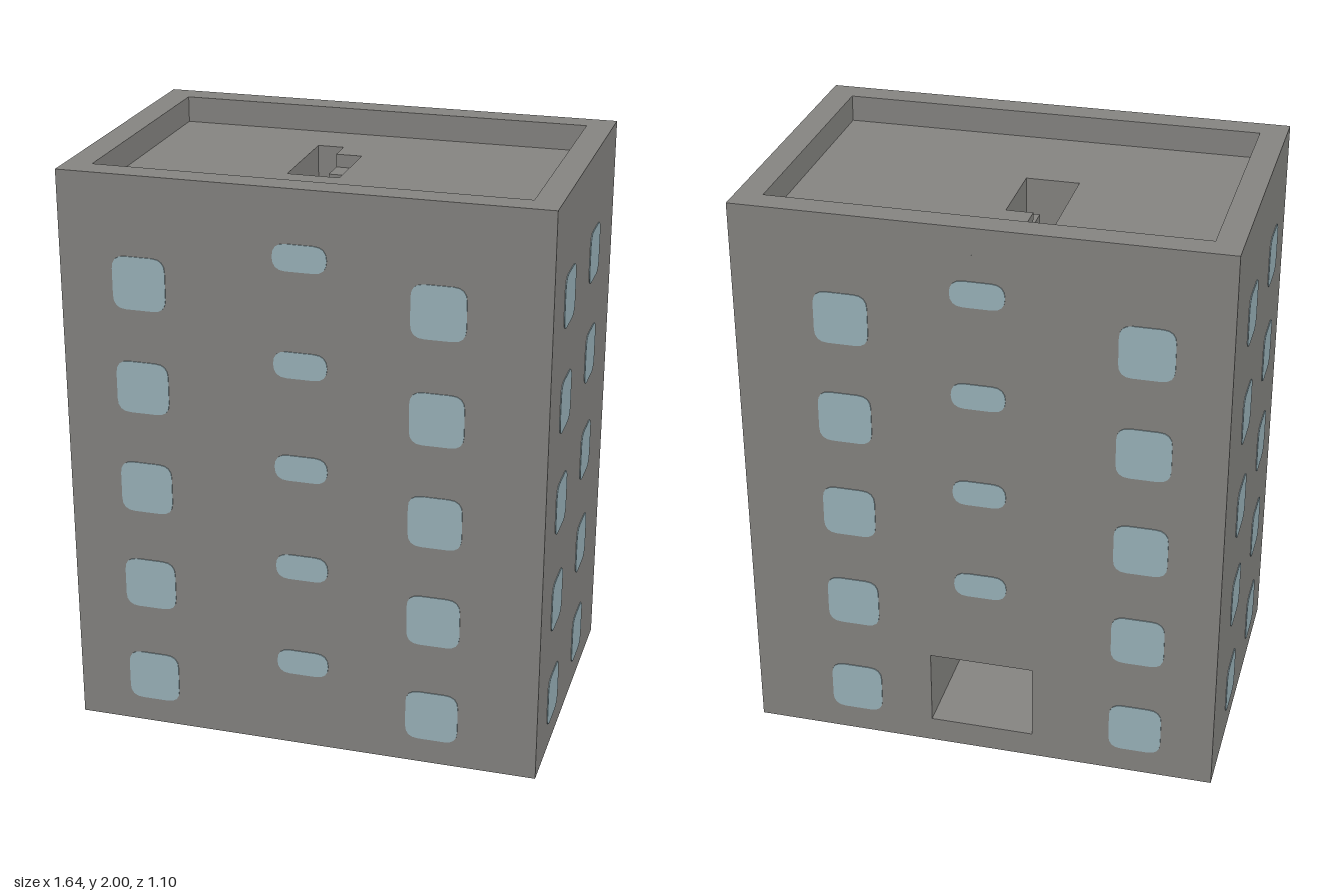
import * as THREE from 'three';

const U = 1 / 11; // module: the block is 18 x 22 x 12 units

const concrete = new THREE.MeshStandardMaterial({ color: 0x878683 });
concrete.name = 'concrete grey';
const glass = new THREE.MeshStandardMaterial({ color: 0x9db6be });
glass.name = 'pale blue glass';

// Closed path from [x, z] corners given in units
function trace(path, corners) {
  corners.forEach(([x, z], i) => (i ? path.lineTo(x * U, -z * U) : path.moveTo(x * U, -z * U)));
  path.closePath();
  return path;
}

// Horizontal layer of the building between heights y0 and y1
function layer(name, y0, y1, outline, hole) {
  const shape = trace(new THREE.Shape(), outline);
  if (hole) shape.holes.push(trace(new THREE.Path(), hole));
  const geo = new THREE.ExtrudeGeometry(shape, { depth: (y1 - y0) * U, bevelEnabled: false });
  geo.rotateX(-Math.PI / 2);
  const mesh = new THREE.Mesh(geo, concrete);
  mesh.position.y = y0 * U;
  mesh.name = name;
  return mesh;
}

// Thin pane with rounded corners, facing +z
function paneGeometry(w, h) {
  const r = 0.045, x = w * U / 2, y = h * U / 2;
  const s = new THREE.Shape();
  s.moveTo(-x + r, -y);
  s.lineTo(x - r, -y);
  s.quadraticCurveTo(x, -y, x, -y + r);
  s.lineTo(x, y - r);
  s.quadraticCurveTo(x, y, x - r, y);
  s.lineTo(-x + r, y);
  s.quadraticCurveTo(-x, y, -x, y - r);
  s.lineTo(-x, -y + r);
  s.quadraticCurveTo(-x, -y, -x + r, -y);
  return new THREE.ExtrudeGeometry(s, { depth: 0.003, bevelEnabled: false, curveSegments: 4 });
}

export function createModel() {
  const model = new THREE.Group();
  model.name = 'apartmentBlock';

  const outer = [[-9, 6], [9, 6], [9, -6], [-9, -6]];
  const roofWell = [[-8, 5], [8, 5], [8, -5], [-8, -5]];
  const stairwell = [[-2, 1], [0, 1], [0, -2], [-1, -2], [-1, -3], [-2, -3]];
  // Ground floor with the entrance hall open at the back
  const groundPlan = [[-9, 6], [9, 6], [9, -6], [2, -6], [2, -1], [0, -1],
    [0, 1], [-2, 1], [-2, -6], [-9, -6]];

  model.add(
    layer('baseSlab', 0, 1, outer),
    layer('groundFloor', 1, 4, groundPlan),
    layer('upperFloors', 4, 21, outer, stairwell),
    layer('parapet', 21, 22, outer, roofWell),
  );

  // Half-height top step of each stair flight
  for (let floor = 1; floor <= 5; floor++) {
    const step = new THREE.Mesh(new THREE.BoxGeometry(U, U / 2, U), concrete);
    step.position.set(-0.5 * U, (floor * 4 + 0.25) * U, -1.5 * U);
    step.name = 'stairStep';
    model.add(step);
  }

  // Windows: [centre along the wall, centre height on the first floor, geometry]
  const square = paneGeometry(2, 2);
  const slot = paneGeometry(2, 1);
  const longWall = [[-6, 2, square], [5, 2, square], [0, 3.5, slot]];
  const shortWall = [[3, 2, square], [-2, 2, square]];

  const addWindow = (name, geo, x, y, z, turn) => {
    const pane = new THREE.Mesh(geo, glass);
    pane.position.set(x * U, y * U, z * U);
    pane.rotation.y = turn;
    pane.name = name;
    model.add(pane);
  };

  for (let floor = 0; floor < 5; floor++) {
    for (const [x, y, geo] of longWall) {
      addWindow('frontWindow', geo, x, y + floor * 4, 6, 0);
      // The entrance takes the place of the lowest middle window at the back
      if (geo === slot && floor === 0) continue;
      addWindow('backWindow', geo, x, y + floor * 4, -6, Math.PI);
    }
    for (const [z, y, geo] of shortWall) {
      addWindow('leftWindow', geo, 9, y + floor * 4, z, Math.PI / 2);
      addWindow('rightWindow', geo, -9, y + floor * 4, z, -Math.PI / 2);
    }
  }
  return model;
}
